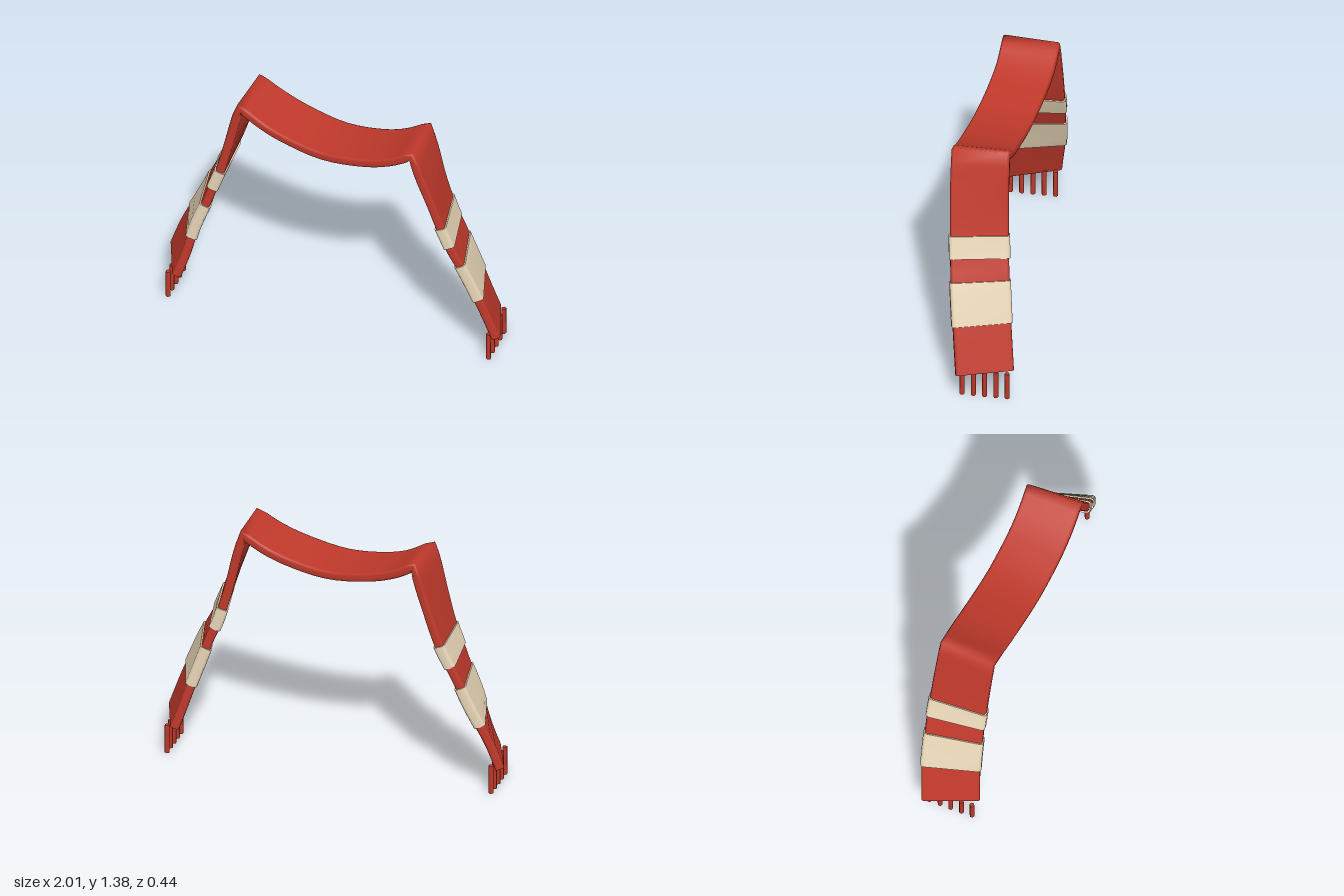
import * as THREE from 'three';

const WIDTH = 0.325, THICK = 0.052;
const vec = (p) => new THREE.Vector3(...p);

// Centre lines: right-hand leg, drape between the shoulders, left-hand leg
const legA = [[-0.93, 0.163, 0.005], [-0.84, 0.425, -0.028], [-0.748, 0.655, -0.046], [-0.7, 0.775, -0.053],
  [-0.648, 0.9, -0.057], [-0.58, 1.13, -0.058], [-0.517, 1.36, -0.055]];
const drape = [[-0.517, 1.36, -0.055], [-0.39, 1.29, -0.045], [-0.25, 1.243, -0.025], [0, 1.208, 0.014],
  [0.25, 1.243, 0.044], [0.39, 1.29, 0.053], [0.517, 1.36, 0.055]];
const legB = [[0.517, 1.36, 0.055], [0.585, 1.13, 0.051], [0.655, 0.9, 0.04], [0.7, 0.775, 0.031],
  [0.752, 0.655, 0.02], [0.84, 0.425, -0.005], [0.93, 0.163, -0.035]];

const STEPS = 4; // samples per control segment
function sample(points) {
  return new THREE.CatmullRomCurve3(points.map(vec)).getPoints((points.length - 1) * STEPS);
}

// Position, level width direction and thickness direction at each sample
function makeFrames(path) {
  return path.map((p, i) => {
    const t = new THREE.Vector3();
    if (i > 0) t.add(p.clone().sub(path[i - 1]).normalize());
    if (i < path.length - 1) t.add(path[i + 1].clone().sub(p).normalize());
    t.normalize();
    const w = new THREE.Vector3(-t.z, 0, t.x).normalize();
    return { p, w, n: w.clone().cross(t) };
  });
}

// Flat cloth section with softened corners
function section(width, thick, r) {
  const pts = [];
  [[1, 1], [-1, 1], [-1, -1], [1, -1]].forEach(([sx, sy], q) => {
    for (let k = 0; k <= 2; k++) {
      const a = (q + k / 2) * Math.PI / 2;
      pts.push([sx * (width / 2 - r) + r * Math.cos(a), sy * (thick / 2 - r) + r * Math.sin(a)]);
    }
  });
  return pts;
}

// Sweep the section through the frames, with closed ends
function sweep(frames, sec) {
  const pos = [], idx = [], m = sec.length, last = frames.length - 1;
  const ring = (f) => sec.forEach(([a, b]) => {
    const v = f.p.clone().addScaledVector(f.w, a).addScaledVector(f.n, b);
    pos.push(v.x, v.y, v.z);
  });
  frames.forEach(ring);
  for (let i = 0; i < last; i++) {
    for (let j = 0; j < m; j++) {
      const a = i * m + j, c = i * m + (j + 1) % m;
      idx.push(a, a + m, c, c, a + m, c + m);
    }
  }
  [frames[0], frames[last]].forEach((f, end) => {
    const s = pos.length / 3;
    ring(f);
    for (let j = 1; j < m - 1; j++) {
      if (end) idx.push(s, s + j + 1, s + j);
      else idx.push(s, s + j, s + j + 1);
    }
  });
  const g = new THREE.BufferGeometry();
  g.setAttribute('position', new THREE.Float32BufferAttribute(pos, 3));
  g.setIndex(idx);
  g.computeVertexNormals();
  return g;
}

export function createModel() {
  const group = new THREE.Group();
  const red = new THREE.MeshStandardMaterial({ color: 0xc0392b });
  const cream = new THREE.MeshStandardMaterial({ color: 0xe8d5b7 });
  const add = (name, geometry, material) => {
    const mesh = new THREE.Mesh(geometry, material);
    mesh.name = name;
    group.add(mesh);
    return mesh;
  };

  // Cloth
  const path = [...sample(legA), ...sample(drape).slice(1), ...sample(legB).slice(1)];
  const frames = makeFrames(path);
  add('scarfCloth', sweep(frames, section(WIDTH, THICK, 0.014)), red);

  // Stripes: a wide and a narrow one wrapped around each hanging end
  const bandSection = section(WIDTH + 0.014, THICK + 0.016, 0.018);
  const last = frames.length - 1;
  [['wideStripe', 1], ['narrowStripe', 3]].forEach(([name, k]) => {
    const from = k * STEPS, to = from + STEPS;
    add(name + 'Right', sweep(frames.slice(from, to + 1), bandSection), cream);
    add(name + 'Left', sweep(frames.slice(last - to, last - from + 1), bandSection), cream);
  });

  // Fringe: five straight tassels under each end
  const tassel = new THREE.CylinderGeometry(0.014, 0.014, 0.168, 6);
  [['Right', legA[0]], ['Left', legB[6]]].forEach(([side, end]) => {
    for (let i = -2; i <= 2; i++) {
      add('tassel' + side, tassel, red).position.set(end[0], 0.084, end[2] + i * 0.063);
    }
  });
  return group;
}
